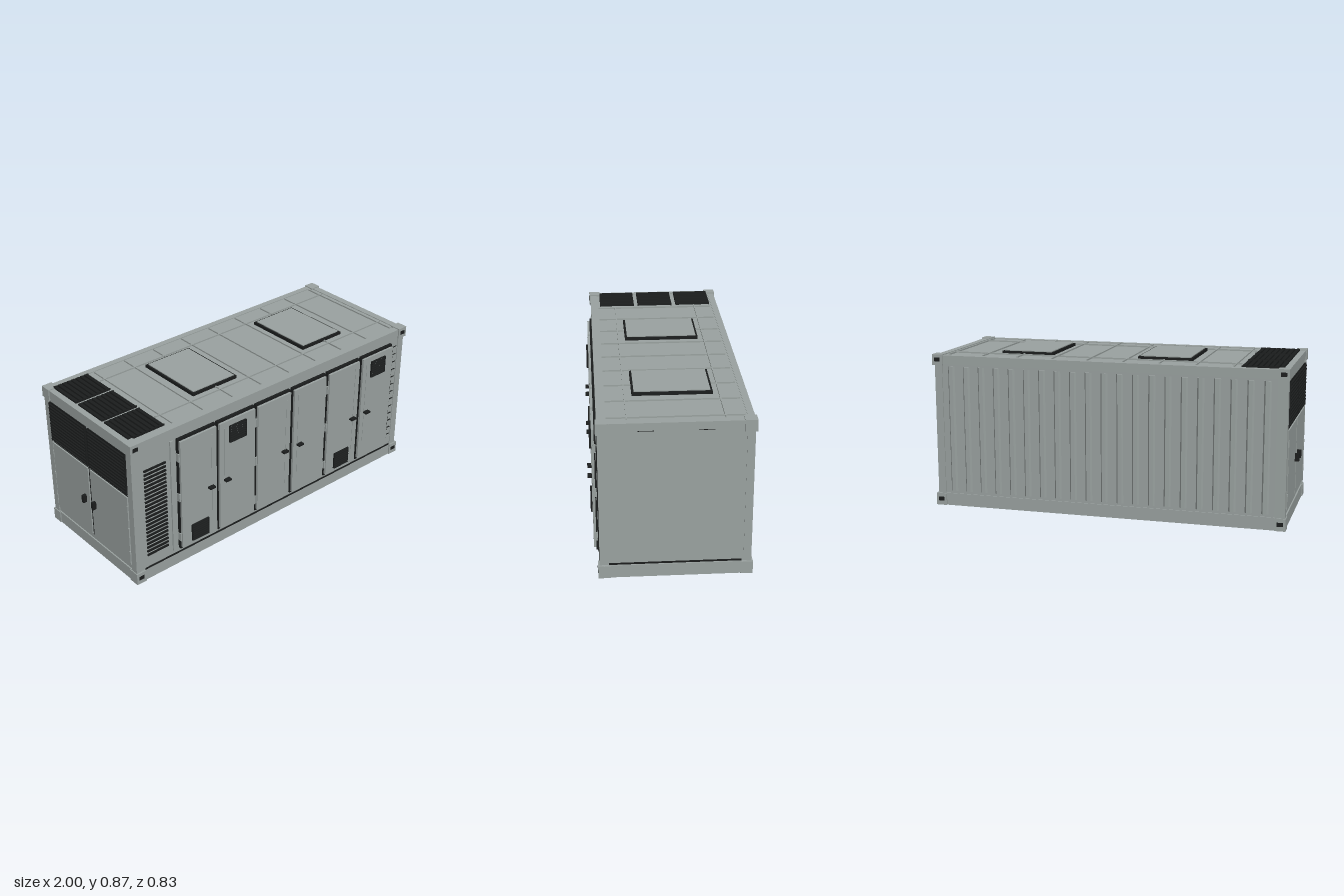
import * as THREE from 'three';

const paint = new THREE.MeshStandardMaterial({ color: 0x9ba3a1 });
paint.name = 'grey paint';
const black = new THREE.MeshStandardMaterial({ color: 0x1b1d1d });
black.name = 'black rubber';

export function createModel() {
  const root = new THREE.Group();
  root.name = 'equipmentContainer';

  // box given by its limits on each axis
  const box = (name, mat, x0, x1, y0, y1, z0, z1, parent = root) => {
    const m = new THREE.Mesh(new THREE.BoxGeometry(x1 - x0, y1 - y0, z1 - z0), mat);
    m.position.set((x0 + x1) / 2, (y0 + y1) / 2, (z0 + z1) / 2);
    m.name = name;
    parent.add(m);
    return m;
  };
  const group = (name) => {
    const g = new THREE.Group();
    g.name = name;
    root.add(g);
    return g;
  };

  // body shell and frame rails
  box('body', paint, -0.968, 0.985, 0.01, 0.852, -0.4, 0.362);
  box('bottomFrame', paint, -0.975, 0.995, 0, 0.07, -0.406, 0.367);
  box('topRailFront', paint, -0.975, 0.99, 0.808, 0.856, 0.33, 0.367);
  box('topRailBack', paint, -0.975, 0.99, 0.808, 0.856, -0.406, -0.37);
  box('topRailRight', paint, 0.95, 0.99, 0.815, 0.856, -0.37, 0.33);
  box('topRailLeft', paint, -0.975, -0.94, 0.808, 0.856, -0.37, 0.33);

  // corner posts and castings with dark lock holes
  for (const [x0, x1] of [[-0.98, -0.92], [0.94, 1]]) {
    for (const [z0, z1, face] of [[0.31, 0.374, 0.374], [-0.413, -0.35, -0.413]]) {
      const px = x0 < 0 ? [-0.975, -0.92] : [0.945, 0.988];
      const pz = z0 > 0 ? [0.325, 0.366] : [-0.405, -0.365];
      box('cornerPost', paint, ...px, 0.06, 0.81, ...pz);
      for (const [y0, y1] of [[0, 0.068], [0.8, 0.861]]) {
        box('cornerCasting', paint, x0, x1, y0, y1, z0, z1);
        const cx = (x0 + x1) / 2, cy = (y0 + y1) / 2 + 0.002;
        box('castingHole', black, cx - 0.016, cx + 0.016, cy - 0.011, cy + 0.011, face - 0.002, face + 0.002);
      }
    }
  }

  // seams on the front and the right end
  box('frontSeam', black, -0.92, 0.94, 0.068, 0.075, 0.36, 0.368);
  box('rightSeam', black, 0.98, 0.9885, 0.07, 0.079, -0.355, 0.318);
  for (const z of [0.13, -0.167]) box('rightTopSeam', black, 0.98, 0.9885, 0.811, 0.815, z - 0.039, z + 0.039);

  // roof stiffeners
  const roof = group('roofRibs');
  for (let i = 0; i < 9; i++) {
    const x = -0.68 + i * 0.2;
    box('crossRib', paint, x - 0.003, x + 0.003, 0.85, 0.86, -0.36, 0.32, roof);
  }
  for (const z of [0.22, -0.263]) box('longRib', paint, -0.71, 0.94, 0.85, 0.86, z - 0.003, z + 0.003, roof);

  // roof hatches: dark gasket under an inset lid
  for (const [x0, x1] of [[-0.432, -0.132], [0.357, 0.653]]) {
    box('hatchGasket', black, x0, x1, 0.85, 0.868, -0.23, 0.182);
    box('hatchLid', paint, x0 + 0.011, x1 - 0.011, 0.86, 0.873, -0.219, 0.171);
  }

  // roof grilles
  for (const z0 of [-0.36, -0.127, 0.104]) {
    const g = group('roofGrille');
    for (let i = 0; i < 8; i++) {
      const x = -0.942 + i * 0.028;
      box('grilleBar', black, x, x + 0.019, 0.85, 0.865, z0, z0 + 0.207, g);
    }
    for (const z of [z0, z0 + 0.203]) box('grilleEdge', black, -0.942, -0.72, 0.85, 0.863, z, z + 0.004, g);
  }

  // front air intake
  const intake = group('frontIntake');
  for (let i = 0; i < 23; i++) {
    const y = 0.148 + i * 0.0238;
    box('intakeSlat', black, -0.9, -0.762, y, y + 0.011, 0.36, 0.369, intake);
  }
  box('frontBar', paint, -0.733, -0.712, 0.1, 0.785, 0.36, 0.37);

  // front doors; hinge is the side of the hinges, vent is top or bottom
  const doors = [
    { x: -0.69, w: 0.243, hinge: -1, vent: 'bottom' },
    { x: -0.43, w: 0.25, hinge: 1, vent: 'top' },
    { x: -0.164, w: 0.242, hinge: -1 },
    { x: 0.1, w: 0.245, hinge: 1 },
    { x: 0.366, w: 0.243, hinge: -1, vent: 'bottom' },
    { x: 0.632, w: 0.248, hinge: 1, vent: 'top' },
  ];
  for (const { x, w, hinge, vent } of doors) {
    const d = group('frontDoor');
    const x1 = x + w, cx = x + w / 2;
    box('doorGasket', black, x - 0.003, x1 + 0.003, 0.1, 0.787, 0.36, 0.379, d);
    box('doorPanel', paint, x + 0.003, x1 - 0.003, 0.112, 0.775, 0.375, 0.392, d);
    // pressed strip beside the handle
    const sx = hinge < 0 ? x1 - 0.034 : x + 0.034;
    box('doorStrip', paint, sx - 0.003, sx + 0.003, 0.2, 0.74, 0.39, 0.394, d);
    // handle
    const hx = hinge < 0 ? x1 - 0.046 : x + 0.046;
    box('handle', black, hx - 0.018, hx + 0.018, 0.415, 0.426, 0.39, 0.415, d);
    // hinges
    const gx = hinge < 0 ? x - 0.002 : x1 + 0.002;
    for (const y of [0.178, 0.432, 0.678]) box('hinge', paint, gx - 0.004, gx + 0.004, y - 0.024, y + 0.024, 0.365, 0.387, d);
    // slatted vent
    if (vent) {
      const y0 = vent === 'top' ? 0.643 : 0.131;
      const vx = vent === 'top' ? cx - 0.002 : cx;
      for (let i = 0; i < 8; i++) {
        const y = y0 + i * 0.0138;
        box('ventSlat', black, vx - 0.056, vx + 0.056, y, y + 0.0045, 0.388, 0.403, d);
      }
      for (const s of [-1, 1]) box('ventSide', black, vx + s * 0.056 - 0.002, vx + s * 0.056 + 0.002, y0, y0 + 0.1, 0.388, 0.4, d);
    }
  }

  // connector strip beside the last door: dark blocks with grey covers
  const strip = group('connectorStrip');
  for (let i = 0; i < 13; i++) {
    const y = 0.12 + i * 0.05;
    box('connector', black, 0.903, 0.934, y, y + 0.034, 0.36, 0.371, strip);
    box('connectorCover', paint, 0.903, 0.934, y, y + 0.034, 0.371, 0.372, strip);
  }

  // corrugated back wall
  const back = group('backCorrugation');
  const profile = new THREE.Shape([[-0.02, 0], [0.02, 0], [0.011, 0.011], [-0.011, 0.011]].map(p => new THREE.Vector2(...p)));
  const ribGeo = new THREE.ExtrudeGeometry(profile, { depth: 0.71, bevelEnabled: false });
  ribGeo.rotateX(-Math.PI / 2);
  for (let i = 0; i < 21; i++) {
    const m = new THREE.Mesh(ribGeo, paint);
    m.name = 'wallRib';
    m.position.set(-0.868 + i * 0.088, 0.085, -0.399);
    back.add(m);
  }

  // left end: louvres above a pair of doors
  for (const [z0, z1, handleZ] of [[-0.36, -0.028, -0.068], [-0.012, 0.32, 0.02]]) {
    const g = group('endLouvre');
    box('louvreBack', black, -0.972, -0.965, 0.545, 0.785, z0, z1, g);
    for (let i = 0; i < 12; i++) {
      const y = 0.552 + i * 0.0195;
      box('louvreSlat', black, -0.982, -0.968, y, y + 0.009, z0, z1, g);
    }
    for (let i = 0; i < 2; i++) {
      const z = i ? z1 - 0.006 : z0;
      box('louvreEdge', black, -0.98, -0.966, 0.545, 0.785, z, z + 0.006, g);
    }
    const d = group('endDoor');
    box('endDoorGasket', black, -0.97, -0.964, 0.097, 0.533, z0 - 0.002, z1 + 0.002, d);
    box('endDoorPanel', paint, -0.977, -0.966, 0.1, 0.53, z0 + 0.002, z1 - 0.002, d);
    box('endDoorHandle', black, -1, -0.975, 0.3, 0.345, handleZ - 0.008, handleZ + 0.008, d);
    const hz = z0 < -0.2 ? z0 : z1;
    for (const y of [0.17, 0.32, 0.46]) box('endHinge', paint, -0.981, -0.965, y - 0.02, y + 0.02, hz - 0.004, hz + 0.004, d);
  }

  return root;
}
